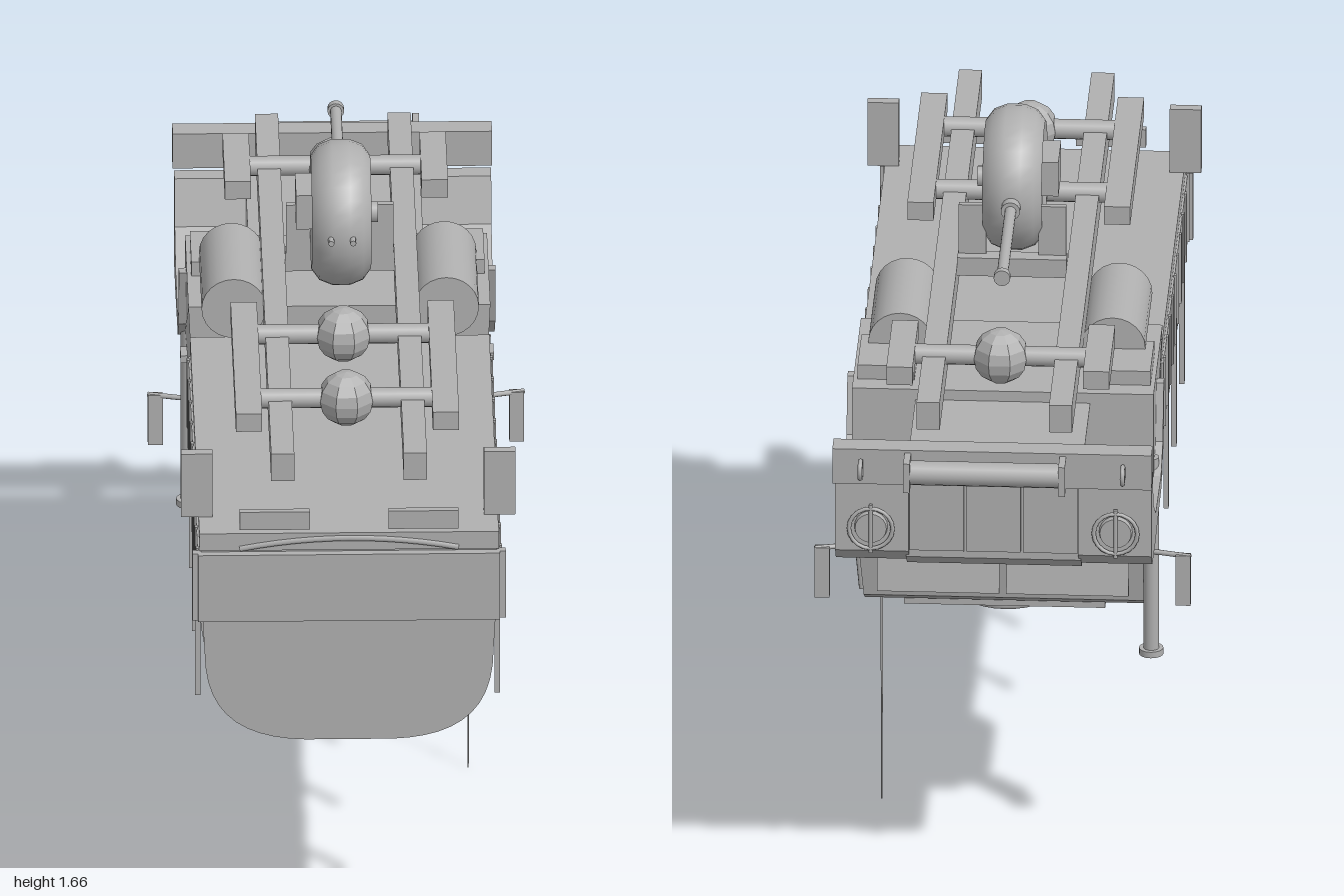
import * as THREE from 'three';
import { toCreasedNormals } from 'three/addons/utils/BufferGeometryUtils.js';

export function createModel() {
  const model = new THREE.Group();
  model.name = 'overturnedTruck';
  const grey = new THREE.MeshStandardMaterial({ color: 0xb0b0b0 });
  grey.name = 'plainGrey';

  const add = (name, geo) => {
    const m = new THREE.Mesh(geo, grey);
    m.name = name;
    model.add(m);
    return m;
  };
  // box given by its limits
  const box = (name, x0, x1, y0, y1, z0, z1) => {
    const m = add(name, new THREE.BoxGeometry(x1 - x0, y1 - y0, z1 - z0));
    m.position.set((x0 + x1) / 2, (y0 + y1) / 2, (z0 + z1) / 2);
    return m;
  };
  // the same box on both sides
  const pair = (name, x0, x1, ...r) => {
    box(name + 'Left', x0, x1, ...r);
    box(name + 'Right', -x1, -x0, ...r);
  };
  const rod = (name, a, b, r0, r1 = r0, n = 16) => {
    const p = new THREE.Vector3(...a), q = new THREE.Vector3(...b);
    const m = add(name, new THREE.CylinderGeometry(r1, r0, p.distanceTo(q), n));
    m.position.copy(p).add(q).multiplyScalar(0.5);
    m.quaternion.setFromUnitVectors(new THREE.Vector3(0, 1, 0), q.sub(p).normalize());
    return m;
  };
  const toShape = pts => new THREE.Shape(pts.map(p => new THREE.Vector2(...p)));
  // side profile of [z, y] points swept across x
  const sweepX = (name, pts, x0, x1) => {
    const g = new THREE.ExtrudeGeometry(toShape(pts), { depth: x1 - x0, bevelEnabled: false });
    g.rotateY(-Math.PI / 2);
    g.translate(x1, 0, 0);
    return add(name, g);
  };
  // belly outline, grown by d
  const belly = d => {
    const s = new THREE.Shape();
    s.moveTo(-0.335 - d, 0.92);
    s.lineTo(-0.328 - d, 0.79);
    s.bezierCurveTo(-0.315 - d, 0.66 - d, -0.23, 0.61 - d, -0.1, 0.606 - d);
    s.lineTo(0.1, 0.606 - d);
    s.bezierCurveTo(0.23, 0.61 - d, 0.315 + d, 0.66 - d, 0.328 + d, 0.79);
    s.lineTo(0.335 + d, 0.92);
    return s;
  };
  const sweepBelly = (name, d, z0, z1) => {
    const g = new THREE.ExtrudeGeometry(belly(d), { depth: z1 - z0, bevelEnabled: false, curveSegments: 10 });
    g.translate(0, 0, z0);
    add(name, toCreasedNormals(g, 0.5));
  };

  // cargo body with rounded cover
  sweepBelly('cargoCover', 0, -0.055, 0.985);
  for (const z of [0.08, 0.42, 0.76]) sweepBelly('coverHoop', 0.006, z - 0.007, z + 0.007);
  box('cargoFloor', -0.342, 0.342, 1.085, 1.128, -0.06, 0.985);
  box('cargoSides', -0.338, 0.338, 0.912, 1.085, -0.055, 0.98);
  pair('sideBoard', 0.338, 0.346, 0.912, 1.08, -0.06, 0.98);
  box('tailgate', -0.345, 0.345, 0.912, 1.08, 0.98, 1);
  box('headboard', -0.34, 0.34, 0.84, 1.08, -0.085, -0.06);
  for (let i = 0; i < 10; i++) {
    const z = -0.04 + i * 0.111;
    pair('sideBatten', 0.344, 0.35, 0.912, 1.085, z, z + 0.012);
  }
  for (const z of [0.795, 0.455, 0.12]) pair('coverStake', 0.336, 0.348, 0.635, 0.95, z - 0.01, z + 0.01);
  pair('tailgateEdge', 0.335, 0.358, 0.912, 1.08, 0.97, 0.99);
  pair('tailLamp', 0.09, 0.25, 1.14, 1.185, 0.975, 0.992);
  pair('mudFlap', 0.31, 0.382, 1.128, 1.287, 0.87, 0.895);
  add('tailBar', new THREE.TubeGeometry(new THREE.QuadraticBezierCurve3(
    new THREE.Vector3(-0.25, 1.09, 0.985), new THREE.Vector3(0, 1.14, 0.985),
    new THREE.Vector3(0.25, 1.09, 0.985)), 12, 0.007, 6));

  // cab, narrowing towards its roof
  const cab = sweepX('cab', [[-0.09, 1.19], [-0.47, 1.19], [-0.475, 0.94], [-0.425, 0.65], [-0.40, 0.632], [-0.11, 0.632], [-0.09, 0.65]], -0.345, 0.345);
  const narrow = (x, y) => x * (y < 0.94 ? 0.925 + 0.075 * (y - 0.632) / 0.308 : 1);
  const cp = cab.geometry.attributes.position;
  for (let i = 0; i < cp.count; i++) cp.setX(i, narrow(cp.getX(i), cp.getY(i)));
  cab.geometry.computeVertexNormals();
  box('roofPanel', -0.23, 0.23, 0.613, 0.635, -0.39, -0.15);
  const hatch = add('roofHatchRing', new THREE.TorusGeometry(0.105, 0.012, 8, 28));
  hatch.rotation.x = Math.PI / 2;
  hatch.position.set(0, 0.61, -0.27);
  for (const s of [-1, 1]) {
    const glass = box('windscreen', s * 0.155 - 0.14, s * 0.155 + 0.14, -0.11, 0.11, -0.004, 0.004);
    glass.position.set(s * 0.148, 0.79, -0.452);
    glass.rotation.x = 0.171;
    const seam = rod('doorPillar', [s * 0.347, 0.94, -0.455], [s * 0.326, 0.66, -0.41], 0.007, 0.007, 6);
    seam.name = 'doorPillar';
    box('doorHandle', s * 0.35 - 0.008, s * 0.35 + 0.008, 0.93, 0.948, -0.39, -0.34);
    // mirrors
    rod('mirrorArm', [s * 0.335, 0.787, -0.45], [s * 0.43, 0.787, -0.475], 0.006, 0.006, 8);
    box('mirror', s * 0.413 - 0.017, s * 0.413 + 0.017, 0.665, 0.79, -0.48, -0.462);
  }
  rod('exhaustPipe', [-0.338, 0.53, -0.44], [-0.338, 1.02, -0.44], 0.018);
  rod('exhaustTip', [-0.338, 0.525, -0.44], [-0.338, 0.54, -0.44], 0.028);
  rod('antennaBase', [0.295, 0.64, -0.13], [0.295, 0.38, -0.13], 0.004, 0.003, 6);
  rod('antennaTip', [0.295, 0.38, -0.13], [0.295, 0, -0.13], 0.003, 0.0015, 6);

  // bonnet and grille
  sweepX('bonnet', [[-0.46, 1.165], [-0.86, 1.165], [-0.86, 0.95], [-0.83, 0.922], [-0.46, 0.91]], -0.2, 0.2);
  for (const x of [-0.13, 0, 0.13]) box('grillePanel', x - 0.062, x + 0.062, 0.97, 1.15, -0.868, -0.86);
  // wheel arches, opening upward
  const arch = [[-0.325, 1.165], [-0.367, 1.016], [-0.45, 0.95], [-0.72, 0.93], [-0.84, 0.935], [-0.875, 0.97], [-0.87, 1.165],
    [-0.825, 1.165], [-0.79, 1.06], [-0.69, 0.995], [-0.47, 0.985], [-0.39, 1.035], [-0.352, 1.165]];
  for (const s of [-1, 1]) {
    sweepX('wheelArch', arch, s * 0.278 - 0.084, s * 0.278 + 0.084);
    rod('headlamp', [s * 0.28, 1.03, -0.865], [s * 0.28, 1.03, -0.885], 0.04, 0.036, 20);
    const guard = add('lampGuard', new THREE.TorusGeometry(0.05, 0.005, 6, 20));
    guard.position.set(s * 0.28, 1.03, -0.885);
    rod('guardBar', [s * 0.28, 0.97, -0.885], [s * 0.28, 1.09, -0.885], 0.005, 0.005, 6);
  }

  // bumper, winch and tow hooks
  box('bumper', -0.365, 0.365, 1.165, 1.252, -0.935, -0.88);
  rod('winchDrum', [-0.16, 1.21, -0.965], [0.19, 1.21, -0.965], 0.028);
  box('winchEndRight', -0.17, -0.155, 1.172, 1.245, -0.995, -0.93);
  box('winchEndLeft', 0.185, 0.2, 1.172, 1.245, -0.995, -0.93);
  for (const s of [-1, 1]) {
    const hook = add('towHook', new THREE.TorusGeometry(0.02, 0.006, 6, 16));
    hook.rotation.y = Math.PI / 2;
    hook.position.set(s * 0.3, 1.21, -0.955);
  }

  // chassis rails, leaf springs, axles
  pair('chassisRail', 0.125, 0.178, 1.257, 1.325, -0.83, 0.978);
  pair('rearSpring', 0.195, 0.255, 1.3, 1.345, 0.21, 0.805);
  pair('frontSpring', 0.195, 0.255, 1.3, 1.345, -0.685, -0.43);
  for (const z of [0.675, 0.335, -0.56]) {
    rod('axle', [-0.2, 1.322, z], [0.2, 1.322, z], 0.023);
    const diff = add('differential', new THREE.SphereGeometry(0.065, 8, 8).toNonIndexed());
    diff.geometry.computeVertexNormals();
    diff.rotation.set(0, Math.PI / 8, 0);
    diff.position.set(0, 1.322, z);
  }

  // fuel tanks and steps
  for (const s of [-1, 1]) {
    rod('fuelTank', [s * 0.243, 1.228, 0], [s * 0.243, 1.228, -0.3], 0.074, 0.074, 24);
    box('step', s * 0.27 - 0.065, s * 0.27 + 0.065, 1.185, 1.225, -0.42, -0.255);
  }

  // spare wheel with carrier and shaft
  const tyre = new THREE.LatheGeometry([[0.0, -0.05], [0.1, -0.05], [0.105, -0.06], [0.13, -0.068], [0.155, -0.05], [0.167, -0.02],
    [0.167, 0.02], [0.155, 0.05], [0.13, 0.068], [0.105, 0.06], [0.1, 0.05], [0, 0.05]].map(p => new THREE.Vector2(...p)), 32);
  const wheel = add('spareWheel', toCreasedNormals(tyre, 0.6));
  wheel.rotation.z = Math.PI / 2;
  wheel.position.set(0, 1.492, 0.045);
  rod('wheelHub', [0.04, 1.492, 0.045], [0.085, 1.492, 0.045], 0.025, 0.025, 8);
  box('wheelGearbox', -0.103, -0.045, 1.475, 1.56, -0.02, 0.1);
  for (const x of [-0.025, 0.025]) rod('wheelBolt', [x, 1.5, 0.19], [x, 1.5, 0.232], 0.007, 0.007, 8);
  pair('wheelCarrier', 0.06, 0.123, 1.325, 1.467, -0.06, -0.045);
  box('wheelCarrierBase', -0.125, 0.125, 1.3, 1.345, -0.085, -0.045);
  rod('driveShaft', [0, 1.492, -0.11], [0, 1.492, -0.5], 0.013);
  rod('shaftCollar', [0, 1.492, -0.11], [0, 1.492, -0.145], 0.022);
  rod('shaftFlange', [0, 1.492, -0.49], [0, 1.492, -0.508], 0.019);
  return model;
}
